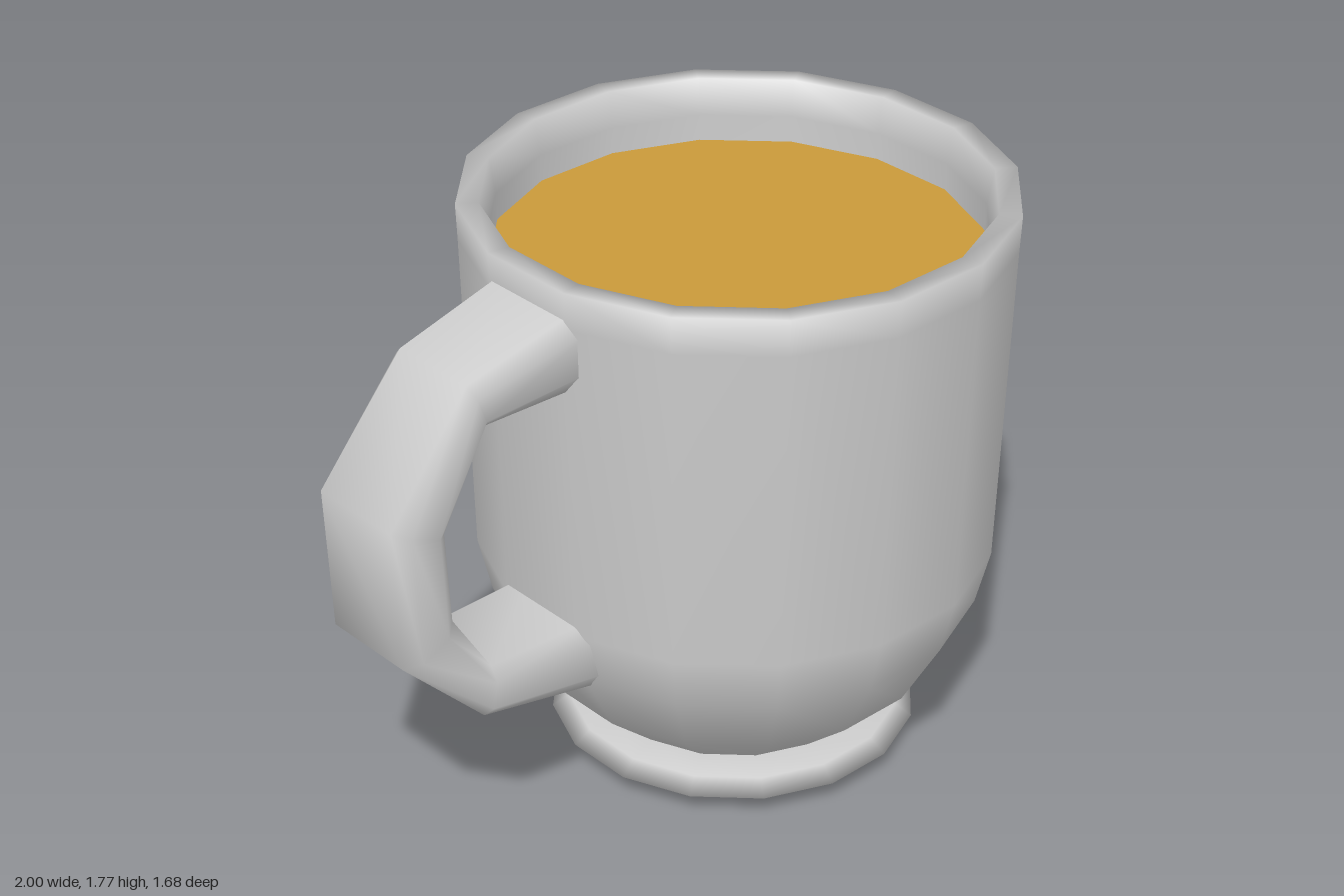
import * as THREE from 'three';

const SIDES = 16;
const grey = new THREE.MeshStandardMaterial({ color: 0xcccccc });
const drink = new THREE.MeshStandardMaterial({ color: 0xc99a3a });

// Turned part from [radius, height] pairs
function turned(name, profile, material) {
  const points = profile.map(([r, y]) => new THREE.Vector2(r, y));
  const mesh = new THREE.Mesh(new THREE.LatheGeometry(points, SIDES), material);
  mesh.name = name;
  return mesh;
}

// Bevelled bar swept through rings: [outer s, outer y, inner s, inner y, width scale]
function handleGeometry(rings) {
  const half = [[0, 0.147], [0.24, 0.185], [0.76, 0.185], [1, 0.147]];
  const section = [...half, ...half.map(([t, w]) => [t, -w]).reverse()];
  const n = section.length;
  const positions = [];
  const index = [];
  rings.forEach(([os, oy, is, iy, k], i) => {
    for (const [t, w] of section) {
      positions.push(os + (is - os) * t, oy + (iy - oy) * t, w * k);
    }
    if (i === rings.length - 1) return;
    for (let j = 0; j < n; j++) {
      const a = i * n + j;
      const b = i * n + (j + 1) % n;
      index.push(a, b, a + n, b, b + n, a + n);
    }
  });
  const geometry = new THREE.BufferGeometry();
  geometry.setAttribute('position', new THREE.Float32BufferAttribute(positions, 3));
  geometry.setIndex(index);
  geometry.computeVertexNormals();
  return geometry;
}

export function createModel() {
  const mug = new THREE.Group();
  mug.name = 'mug';
  mug.position.set(0.21, 0, -0.055);

  // Rounded bowl, straight outer wall, rim and inner wall
  mug.add(turned('cup', [
    [0.38, 0.11], [0.41, 0.13], [0.6, 0.3], [0.72, 0.52], [0.76, 0.69],
    [0.783, 1.67], [0.787, 1.78], [0.722, 1.78], [0.705, 1.67],
    [0.69, 0.75], [0.52, 0.36], [0, 0.2],
  ], grey));

  // Thin lens-shaped foot
  mug.add(turned('foot', [
    [0, 0.005], [0.25, 0.01], [0.44, 0.03], [0.55, 0.078],
    [0.5, 0.115], [0.4, 0.135], [0, 0.135],
  ], grey));

  // Drink surface
  const liquid = new THREE.Mesh(new THREE.CircleGeometry(0.702, SIDES), drink);
  liquid.name = 'drink';
  liquid.rotation.x = -Math.PI / 2;
  liquid.position.y = 1.59;
  mug.add(liquid);

  // Handle, turned towards the front right
  const handle = new THREE.Mesh(handleGeometry([
    [0.72, 1.71, 0.72, 1.48, 1],
    [1.09, 1.62, 1.04, 1.48, 0.92],
    [1.363, 1.29, 1.19, 1.22, 1],
    [1.345, 0.86, 1.175, 0.94, 1],
    [1.07, 0.575, 1.04, 0.725, 0.92],
    [0.64, 0.49, 0.66, 0.72, 1],
  ]), grey);
  handle.name = 'handle';
  handle.rotation.y = Math.PI + 0.592;
  mug.add(handle);

  const model = new THREE.Group();
  model.add(mug);
  return model;
}
